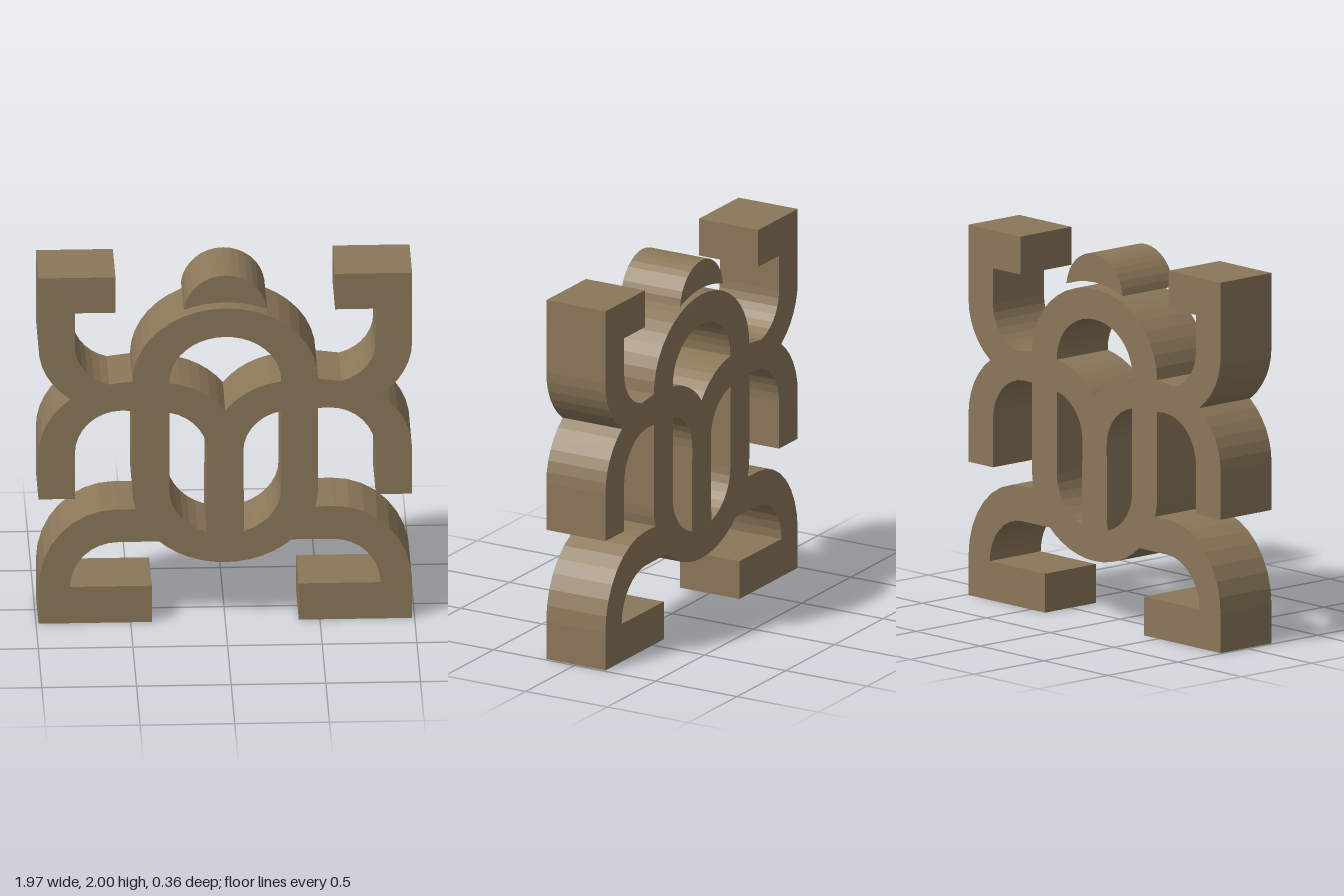
import * as THREE from 'three';

const HALF_DEPTH = 0.182;

// points along an elliptical arc, angles in degrees
function arc(cx, cy, rx, ry, from, to, steps = 8) {
  return Array.from({ length: steps + 1 }, (_, i) => {
    const a = THREE.MathUtils.degToRad(from + ((to - from) * i) / steps);
    return [cx + rx * Math.cos(a), cy + ry * Math.sin(a)];
  });
}

// right half (bottom to top) plus its mirror image
const mirrored = (half) => [
  ...half,
  ...half.filter(([x]) => x > 1e-4).reverse().map(([x, y]) => [-x, y]),
];
const flip = (points) => points.map(([x, y]) => [-x, y]).reverse();
const vectors = (points) => points.map(([x, y]) => new THREE.Vector2(x, y));

function plate(name, outline, holes, material) {
  const shape = new THREE.Shape(vectors(outline));
  shape.holes = holes.map((h) => new THREE.Path(vectors(h)));
  const geometry = new THREE.ExtrudeGeometry(shape, { depth: 2 * HALF_DEPTH, bevelEnabled: false });
  geometry.translate(0, 0, -HALF_DEPTH);
  const mesh = new THREE.Mesh(geometry, material);
  mesh.name = name;
  return mesh;
}

export function createModel() {
  const brown = new THREE.MeshStandardMaterial({ color: 0x8b7759 });
  brown.name = 'brown';

  const outline = mirrored([
    // rounded underside of the body
    ...arc(0, 0.76, 0.49, 0.42, -90, -44.4, 6),
    // leg and foot
    ...arc(0.57, 0.21, 0.25, 0.255, 90, 0),
    [0.388, 0.21], [0.388, 0], [0.987, 0],
    ...arc(0.577, 0.21, 0.41, 0.445, 0, 90),
    // side of the body
    ...arc(0, 0.76, 0.49, 0.42, -14.5, 0, 2),
    [0.49, 1.225],
    // lower arm
    ...arc(0.55, 0.98, 0.245, 0.247, 90, 0),
    [0.795, 0.72], [0.987, 0.72],
    ...arc(0.55, 0.98, 0.437, 0.4, 0, 52.2, 6),
    // upper arm and hand
    ...arc(0.55, 1.6, 0.437, 0.385, -51, 0, 6),
    [0.987, 2], [0.58, 2], [0.58, 1.795], [0.795, 1.795],
    ...arc(0.55, 1.6, 0.245, 0.228, 0, -75, 7),
    // shoulder and domed top of the body
    [0.55, 1.388],
    ...arc(0, 1.395, 0.49, 0.415, 0, 90, 10),
  ]);

  // opening under the dome, with its heart-shaped lower edge
  const upperHole = mirrored([
    ...arc(0.355, 0.98, 0.44, 0.405, 143.8, 97.8, 6),
    ...arc(0, 1.39, 0.295, 0.255, 0, 90, 10),
  ]);

  // tall opening beside the central stem
  const sideHole = [
    ...arc(0, 0.76, 0.295, 0.257, -70.2, 0, 7),
    ...arc(0.345, 0.98, 0.25, 0.235, 101.5, 180, 7),
  ];

  const head = [
    ...arc(0, 1.778, 0.222, 0.222, 7, 173, 16),
    ...arc(0, 1.22, 0.625, 0.625, 110.6, 69.4, 8),
  ];

  const model = new THREE.Group();
  model.name = 'figure';
  model.add(
    plate('bodyAndLimbs', outline, [upperHole, sideHole, flip(sideHole)], brown),
    plate('head', head, [], brown),
  );
  return model;
}
